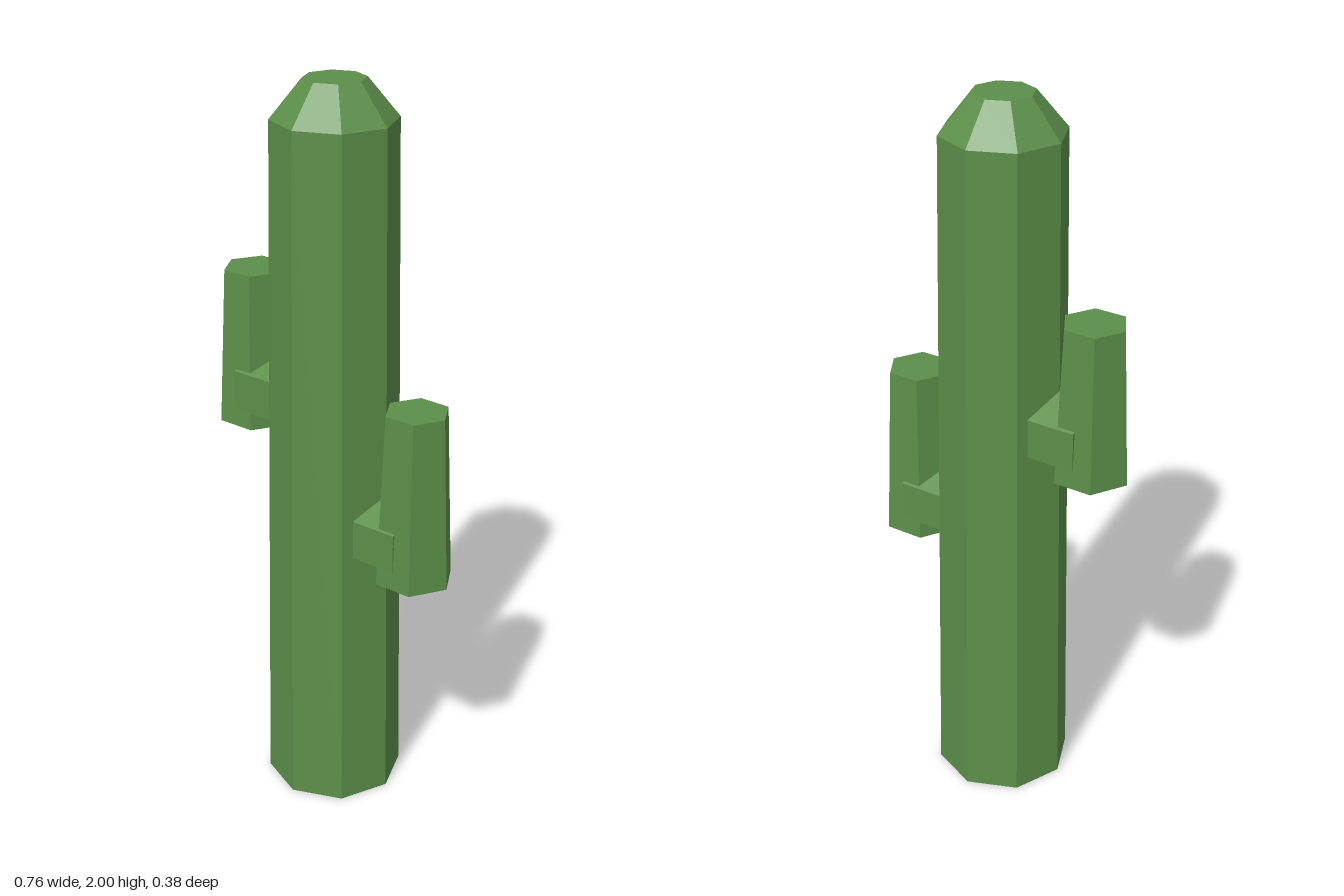
import * as THREE from 'three';

const ARM_RADIUS = 0.108;
const ARM_X = 0.27;

export function createModel() {
  const cactus = new THREE.Group();
  cactus.name = 'cactus';
  const green = new THREE.MeshStandardMaterial({ color: 0x5c8f4a, flatShading: true });
  green.name = 'cactus green';

  function addPart(parent, name, geometry) {
    const mesh = new THREE.Mesh(geometry, green);
    mesh.name = name;
    parent.add(mesh);
    return mesh;
  }

  // Tapered eight-sided trunk with a bevelled crown
  const profile = [[0, 0], [0.188, 0], [0.163, 1.9], [0.081, 2], [0, 2]]
    .map(([r, y]) => new THREE.Vector2(r, y));
  addPart(cactus, 'trunk', new THREE.LatheGeometry(profile, 8));

  // Arm: a six-sided elbow reaching out of the trunk and a tapered upright
  function addArm(name, side, elbowY, topY) {
    const arm = new THREE.Group();
    arm.name = name;
    cactus.add(arm);

    const elbow = new THREE.CylinderGeometry(ARM_RADIUS, ARM_RADIUS, ARM_X, 6);
    elbow.rotateY(Math.PI / 2).rotateZ(Math.PI / 2);
    addPart(arm, name + 'Elbow', elbow).position.set(side * ARM_X / 2, elbowY, 0);

    const baseY = elbowY - 0.105;
    const upright = new THREE.CylinderGeometry(0.087, ARM_RADIUS, topY - baseY, 6);
    upright.rotateY(Math.PI / 2);
    addPart(arm, name + 'Upright', upright).position.set(side * ARM_X, (baseY + topY) / 2, 0);
  }
  addArm('leftArm', 1, 0.815, 1.19);
  addArm('rightArm', -1, 1.135, 1.46);

  return cactus;
}
